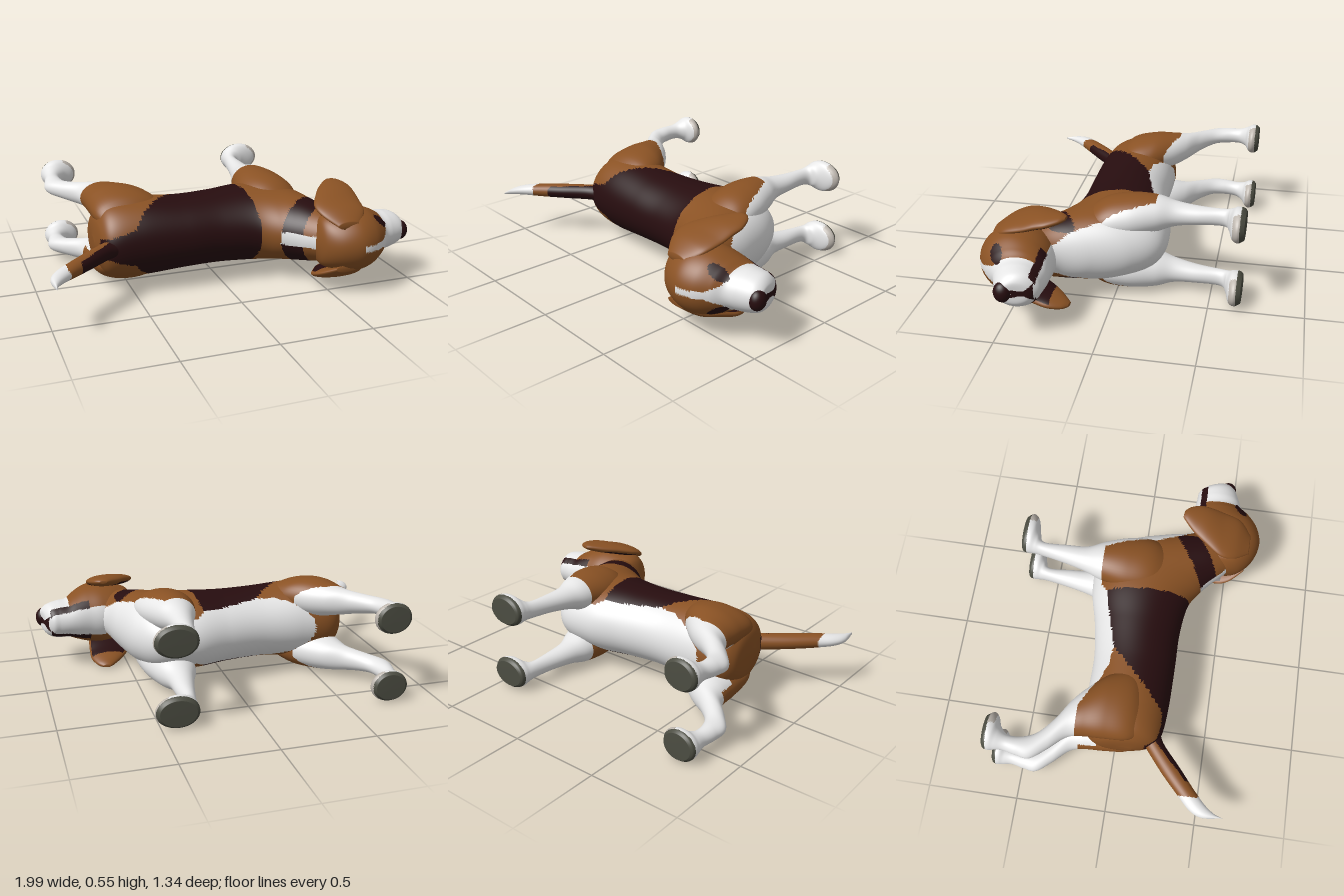
import * as THREE from 'three';

const mat = (name, color) => Object.assign(new THREE.MeshStandardMaterial({ color }), { name });
const MATERIALS = [
  mat('white fur', 0xe6e6e6),
  mat('brown fur', 0x8a5224),
  mat('dark fur', 0x270d0f),
  mat('sole grey', 0x4c4d42),
  mat('toe grey', 0xbdb6ae),
];
const WHITE = 0, BROWN = 1, DARK = 2, SOLE = 3, TOE = 4;
const MID_Y = 0.275; // height of the dog's plane of symmetry, as it lies on its side

// Smooth interpolation through the rows of a table
function sampleRows(rows, t) {
  const f = t * (rows.length - 1), i = Math.min(Math.floor(f), rows.length - 2), u = f - i;
  const at = (k) => rows[Math.max(0, Math.min(rows.length - 1, k))];
  return rows[0].map((_, c) => {
    const [a, b, d, e] = [at(i - 1)[c], at(i)[c], at(i + 1)[c], at(i + 2)[c]];
    return b + 0.5 * u * (d - a + u * (2 * a - 5 * b + 4 * d - e + u * (3 * (b - d) + e - a)));
  });
}

// Loft of ellipses. Row: one end (x, z), other end (x, z), sideways centre, half width.
// Each triangle gets the colour that colourAt(x, sideways, z, centre) returns.
function loft(name, rows, colourAt, side = 1, along = 90, around = 64) {
  const pos = [], tris = [], centres = [];
  for (let i = 0; i <= along; i++) {
    const [ax, az, bx, bz, cy, hw] = sampleRows(rows, i / along);
    centres.push([(ax + bx) / 2, cy, (az + bz) / 2]);
    for (let j = 0; j < around; j++) {
      const t = (j / around) * Math.PI * 2, c = Math.cos(t) / 2;
      pos.push((ax + bx) / 2 + c * (ax - bx), cy + hw * Math.sin(t), (az + bz) / 2 + c * (az - bz));
    }
  }
  for (let i = 0; i < along; i++) for (let j = 0; j < around; j++) {
    const k = (j + 1) % around, a = i * around, b = a + around;
    tris.push([a + j, a + k, b + j], [a + k, b + k, b + j]);
  }
  // end caps
  const first = pos.length / 3, last = first + 1, end = along * around;
  pos.push(...centres[0], ...centres[along]);
  for (let j = 0; j < around; j++) {
    const k = (j + 1) % around;
    tris.push([first, k, j], [last, end + j, end + k]);
  }
  // sort triangles by colour and find which way they face
  const P = (i) => new THREE.Vector3(pos[3 * i], pos[3 * i + 1], pos[3 * i + 2]);
  const buckets = MATERIALS.map(() => []);
  let volume = 0;
  for (const t of tris) {
    const [a, b, c] = t.map(P);
    volume += a.dot(b.clone().cross(c));
    const m = a.add(b).add(c).divideScalar(3);
    const ring = centres[Math.min(along, Math.floor(t[0] / around))];
    buckets[colourAt(m.x, m.y, m.z, ring[1])].push(t);
  }
  const flip = volume * side < 0;
  for (let i = 1; i < pos.length; i += 3) pos[i] = MID_Y + side * pos[i];
  const geo = new THREE.BufferGeometry(), index = [];
  buckets.forEach((list, m) => {
    if (!list.length) return;
    geo.addGroup(index.length, list.length * 3, m);
    for (const [a, b, c] of list) index.push(...(flip ? [a, c, b] : [a, b, c]));
  });
  geo.setAttribute('position', new THREE.Float32BufferAttribute(pos, 3));
  geo.setIndex(index);
  geo.computeVertexNormals();
  const mesh = new THREE.Mesh(geo, MATERIALS);
  mesh.name = name;
  return mesh;
}

// Lower edge of the coloured coat, as z over x
const COAT = [[-0.7, -0.2], [-0.55, -0.2], [-0.4, -0.13], [-0.28, -0.08], [-0.18, -0.07], [0.15, -0.16],
  [0.2, -0.2], [0.37, -0.2], [0.42, -0.1], [0.5, 0.1], [0.56, 0.22], [0.62, 0.3], [0.7, 0.4]];
function coatEdge(x) {
  if (x <= COAT[0][0]) return COAT[0][1];
  const i = COAT.findIndex((p) => p[0] >= x);
  if (i < 0) return 0.4;
  const [a, b] = [COAT[i - 1], COAT[i]];
  return a[1] + ((b[1] - a[1]) * (x - a[0])) / (b[0] - a[0]);
}

function coatColour(x, s, z) {
  if (z < coatEdge(x)) return WHITE;
  if (Math.abs(s) < 0.035 && x > 0.28 && x < 0.44 && z > 0.3) return WHITE; // nape spot
  if (x < 0.165 + 0.09 * z && x + z > -0.25) return DARK; // saddle
  if (x < -0.35 && z > 0.17 && Math.abs(s) < 0.1 + 0.3 * (x + 0.5)) return DARK; // towards the tail
  const band = z + 0.68 * x;
  if (band > 0.55 && band < 0.69 && z > 0.19 && x < 0.56) return DARK; // collar band
  return BROWN;
}

const legColour = (toeX) => (x, s, z) => {
  if (z < -0.642) return SOLE;
  if (z < -0.605 && x > toeX) return TOE;
  if (z < -0.1 && s < 0.12) return WHITE;
  return coatColour(x, s, z);
};

function headColour(x, s, z) {
  const w = Math.abs(s);
  if (x > 0.7 && Math.hypot(w - 0.1, z - 0.53) < 0.036) return DARK; // eyes
  if (x > 0.7 && x < 0.925 && w > 0.03 && z > 0.292 && z < 0.325) return DARK; // lips
  if (x > 0.9 && z > 0.3 && z < 0.42 && w < 0.014 + Math.max(0, 0.34 - z) * 0.8) return DARK;
  if (x > 0.815 || z < 0.295) return WHITE; // muzzle and throat
  if (x > 0.63 && z > 0.45 && w < 0.018 + Math.max(0, x - 0.76) * 0.6) return WHITE; // blaze
  return BROWN;
}

function tailColour(x, s, z) {
  if (x < -0.9 || x - z < -1.38) return WHITE;
  return x + z > -0.41 && x > -0.82 ? DARK : BROWN;
}

const earColour = (x, s, z, centre) => (s < centre - 0.012 && z > 0.3 && z < 0.47 ? DARK : BROWN);

const BODY = [
  [-0.69, 0.1, -0.69, 0.03, 0, 0.03], [-0.66, 0.2, -0.68, -0.1, 0, 0.13], [-0.6, 0.25, -0.6, -0.17, 0, 0.2],
  [-0.45, 0.27, -0.42, -0.18, 0, 0.215], [-0.2, 0.275, -0.2, -0.18, 0, 0.2], [0, 0.275, 0, -0.21, 0, 0.2],
  [0.18, 0.3, 0.2, -0.255, 0, 0.21], [0.28, 0.36, 0.4, -0.24, 0, 0.205], [0.34, 0.41, 0.52, -0.1, 0, 0.19],
  [0.4, 0.47, 0.585, 0.1, 0, 0.165], [0.46, 0.52, 0.62, 0.25, 0, 0.14], [0.55, 0.55, 0.67, 0.32, 0, 0.11],
];
const HEAD = [
  [0.42, 0.48, 0.42, 0.46, 0, 0.02], [0.45, 0.57, 0.46, 0.36, 0, 0.12], [0.52, 0.635, 0.53, 0.29, 0, 0.155],
  [0.62, 0.665, 0.62, 0.27, 0, 0.175], [0.71, 0.645, 0.7, 0.27, 0, 0.165], [0.78, 0.595, 0.77, 0.265, 0, 0.135],
  [0.825, 0.545, 0.82, 0.265, 0, 0.11], [0.88, 0.52, 0.87, 0.27, 0, 0.105], [0.95, 0.49, 0.91, 0.275, 0, 0.092],
  [0.98, 0.46, 0.945, 0.31, 0, 0.06], [0.98, 0.44, 0.96, 0.36, 0, 0.02],
];
const TAIL = [
  [-0.55, 0.24, -0.62, 0.14, 0, 0.05], [-0.63, 0.27, -0.67, 0.18, 0, 0.045], [-0.75, 0.375, -0.79, 0.28, 0, 0.042],
  [-0.85, 0.46, -0.89, 0.375, 0, 0.038], [-0.925, 0.53, -0.965, 0.45, 0, 0.03],
  [-0.965, 0.585, -0.995, 0.52, 0, 0.02], [-0.98, 0.63, -0.985, 0.61, 0, 0.006],
];
const FRONT_LEG = [
  [0.27, 0.2, 0.42, 0.22, 0.1, 0.03], [0.2, 0.08, 0.49, 0.08, 0.13, 0.1], [0.18, -0.06, 0.48, -0.06, 0.15, 0.112],
  [0.205, -0.2, 0.43, -0.2, 0.165, 0.095], [0.24, -0.3, 0.385, -0.3, 0.17, 0.065],
  [0.27, -0.42, 0.375, -0.42, 0.175, 0.05], [0.295, -0.55, 0.37, -0.55, 0.18, 0.047],
  [0.3, -0.6, 0.42, -0.58, 0.185, 0.06], [0.3, -0.63, 0.5, -0.6, 0.187, 0.083],
  [0.305, -0.66, 0.53, -0.63, 0.187, 0.085], [0.32, -0.67, 0.51, -0.665, 0.187, 0.07],
];
const HIND_LEG = [
  [-0.6, 0.18, -0.4, 0.18, 0.1, 0.03], [-0.67, 0.08, -0.3, 0.08, 0.14, 0.09], [-0.685, -0.05, -0.33, -0.05, 0.155, 0.108],
  [-0.69, -0.16, -0.42, -0.16, 0.16, 0.095], [-0.71, -0.24, -0.51, -0.24, 0.165, 0.075],
  [-0.79, -0.33, -0.62, -0.31, 0.17, 0.055], [-0.85, -0.41, -0.71, -0.39, 0.175, 0.045],
  [-0.845, -0.48, -0.745, -0.47, 0.18, 0.045], [-0.83, -0.55, -0.745, -0.54, 0.185, 0.045],
  [-0.835, -0.6, -0.71, -0.58, 0.19, 0.06], [-0.84, -0.63, -0.66, -0.6, 0.19, 0.08],
  [-0.835, -0.655, -0.64, -0.625, 0.19, 0.084], [-0.82, -0.665, -0.66, -0.66, 0.19, 0.07],
];
const EAR = [
  [0.5, 0.6, 0.62, 0.6, 0.12, 0.02], [0.44, 0.52, 0.68, 0.53, 0.165, 0.03], [0.43, 0.44, 0.7, 0.43, 0.195, 0.035],
  [0.48, 0.35, 0.705, 0.36, 0.22, 0.035], [0.53, 0.28, 0.705, 0.3, 0.235, 0.03],
  [0.58, 0.23, 0.68, 0.24, 0.248, 0.02], [0.61, 0.205, 0.65, 0.21, 0.253, 0.008],
];

export function createModel() {
  const dog = new THREE.Group();
  dog.name = 'dog';
  dog.add(loft('body', BODY, coatColour, 1, 130, 96));
  dog.add(loft('head', HEAD, headColour, 1, 120, 96));
  dog.add(loft('tail', TAIL, tailColour, 1, 70, 32));
  for (const [label, side] of [['upper', 1], ['lower', -1]]) {
    dog.add(loft(label + 'FrontLeg', FRONT_LEG, legColour(0.46), side, 100, 48));
    dog.add(loft(label + 'HindLeg', HIND_LEG, legColour(-0.71), side, 100, 48));
    dog.add(loft(label + 'Ear', EAR, earColour, side, 60, 48));
  }
  // nose
  const nose = new THREE.Mesh(new THREE.SphereGeometry(1, 32, 20), MATERIALS[DARK]);
  nose.name = 'nose';
  nose.scale.set(0.042, 0.054, 0.046);
  nose.position.set(0.957, MID_Y, 0.447);
  dog.add(nose);
  return dog;
}
